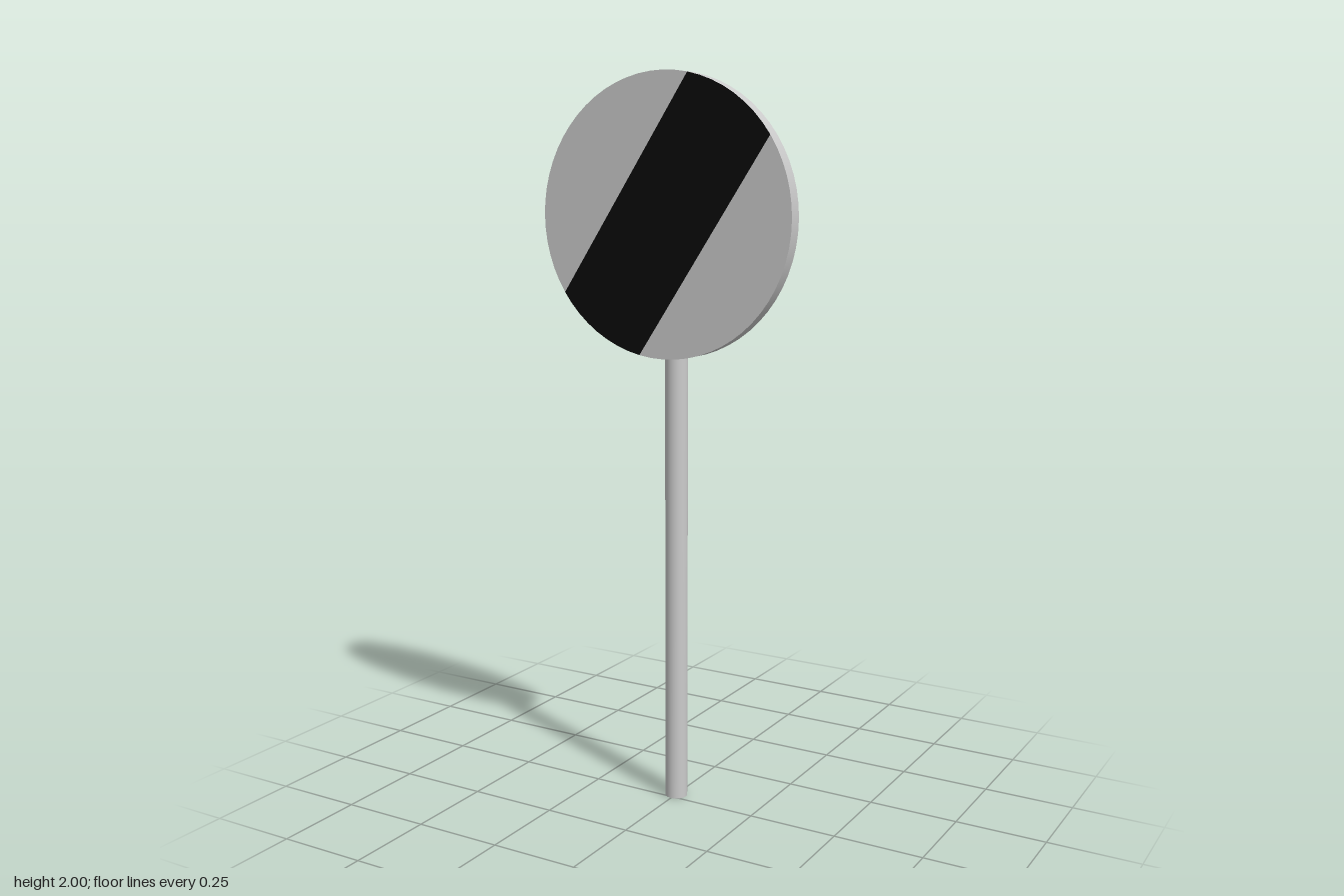
import * as THREE from 'three';
import { mergeVertices } from 'three/addons/utils/BufferGeometryUtils.js';

const SEGMENTS = 64;
const RADIUS = 0.373;
const CENTER_Y = 2 - RADIUS;
const BACK_Z = 0.011;
const FRONT_Z = 0.051;

// Points on the disc's rim between two segment indices
function rimPoints(from, to) {
  const points = [];
  for (let i = from; i <= to; i++) {
    const angle = (i / SEGMENTS) * Math.PI * 2;
    points.push(new THREE.Vector2(Math.cos(angle) * RADIUS, Math.sin(angle) * RADIUS));
  }
  return points;
}

export function createModel() {
  const model = new THREE.Group();
  const grey = new THREE.MeshStandardMaterial({ color: 0xcccccc });
  const black = new THREE.MeshStandardMaterial({ color: 0x0a0a0a });

  const add = (parent, name, geometry, material) => {
    const mesh = new THREE.Mesh(geometry, material);
    mesh.name = name;
    parent.add(mesh);
    return mesh;
  };

  // Pole: normals run smoothly over the cap edges
  const poleHeight = 1.67;
  let poleGeometry = new THREE.CylinderGeometry(0.031, 0.031, poleHeight, 32);
  poleGeometry.deleteAttribute('uv');
  poleGeometry.deleteAttribute('normal');
  poleGeometry = mergeVertices(poleGeometry);
  poleGeometry.computeVertexNormals();
  add(model, 'pole', poleGeometry, grey).position.set(0, poleHeight / 2, -0.022);

  // Sign disc
  const sign = new THREE.Group();
  sign.name = 'signDisc';
  sign.position.y = CENTER_Y;
  model.add(sign);

  const rim = new THREE.CylinderGeometry(RADIUS, RADIUS, FRONT_Z - BACK_Z, SEGMENTS, 1, true);
  rim.rotateX(Math.PI / 2);
  add(sign, 'discRim', rim, grey).position.z = (FRONT_Z + BACK_Z) / 2;

  const back = new THREE.CircleGeometry(RADIUS, SEGMENTS).rotateY(Math.PI);
  add(sign, 'discBack', back, grey).position.z = BACK_Z;

  // Front face: a diagonal stripe between two plain segments
  const face = (name, points, material) => {
    const geometry = new THREE.ShapeGeometry(new THREE.Shape(points));
    add(sign, name, geometry, material).position.z = FRONT_Z;
  };
  face('diagonalStripe', [...rimPoints(6, 14), ...rimPoints(38, 46)], black);
  face('upperFace', rimPoints(14, 38), grey);
  face('lowerFace', rimPoints(46, 70), grey);

  return model;
}
